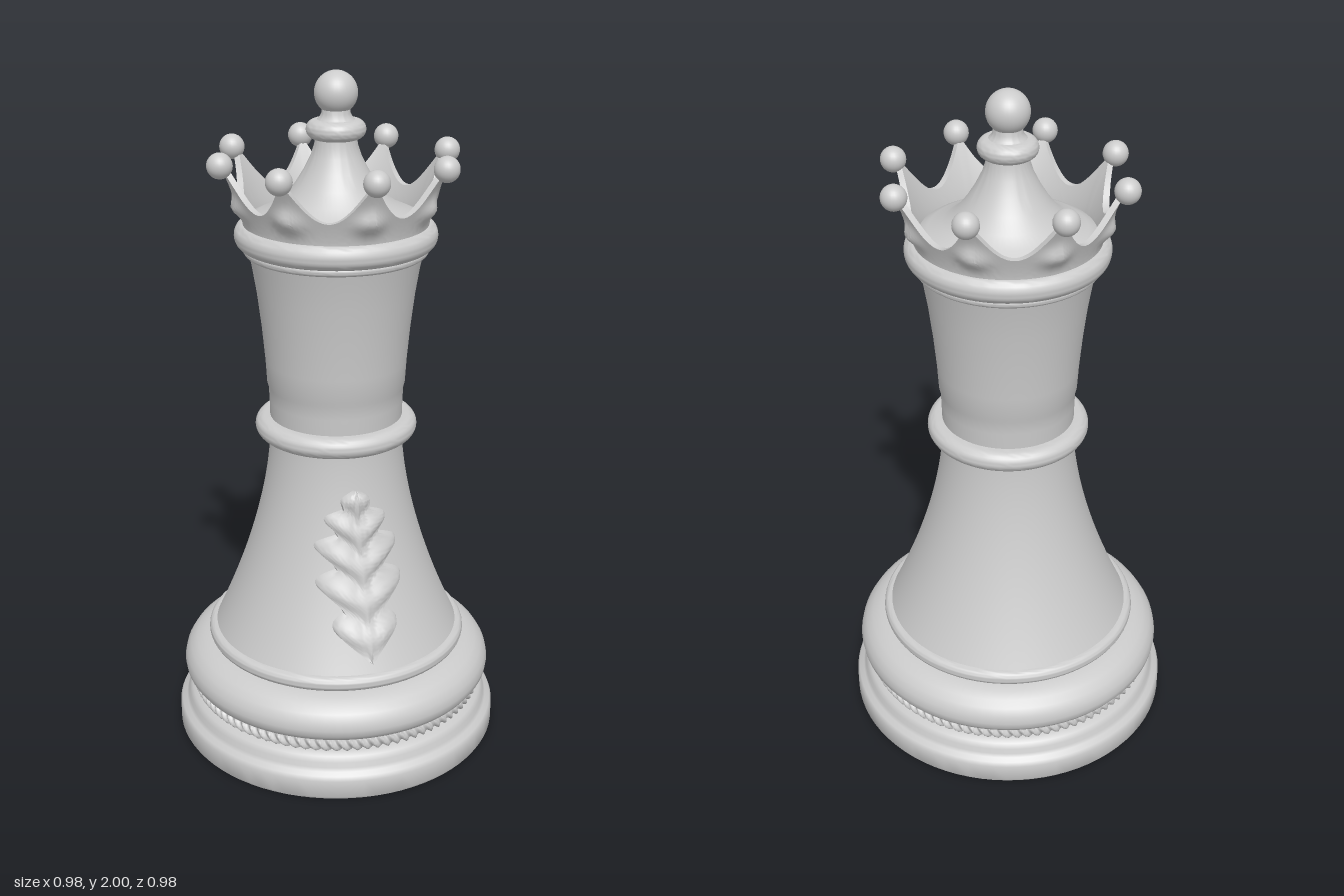
import * as THREE from 'three';
import { toCreasedNormals } from 'three/addons/utils/BufferGeometryUtils.js';
import { ParametricGeometry } from 'three/addons/geometries/ParametricGeometry.js';

const material = new THREE.MeshStandardMaterial({ color: 0xcccccc });
const SPIKES = 8;

function part(group, name, geometry) {
  const mesh = new THREE.Mesh(geometry, material);
  mesh.name = name;
  group.add(mesh);
  return mesh;
}

// Turned part from [radius, height] pairs, listed bottom to top
function turned(group, name, profile, segments = 80) {
  const points = profile.map(([r, y]) => new THREE.Vector2(r, y));
  return part(group, name, toCreasedNormals(new THREE.LatheGeometry(points, segments), 0.7));
}

// Rounded moulding: half an ellipse bulging outward from radius r
function moulding(r, bulge, y0, y1, steps = 14) {
  const points = [[r - 0.03, y0]];
  for (let i = 0; i <= steps; i++) {
    const a = -Math.PI / 2 + (Math.PI * i) / steps;
    points.push([r + bulge * Math.cos(a), (y0 + y1) / 2 + ((y1 - y0) / 2) * Math.sin(a)]);
  }
  points.push([r - 0.03, y1]);
  return points;
}

// Radius of the flared lower stem at height y
const stemRadius = (y) => 0.193 + 0.172 * Math.pow(Math.max(0, (0.97 - y) / 0.63), 1.7);

// Twisted rope running round the base
function ropeGeometry() {
  return new ParametricGeometry((u, v, target) => {
    const a = u * Math.PI * 2;
    const b = v * Math.PI * 2;
    const thick = 0.021 + 0.005 * Math.cos(3 * b + 90 * a);
    const r = 0.42 + thick * Math.cos(b);
    target.set(r * Math.sin(a), 0.15 + thick * Math.sin(b), r * Math.cos(a));
  }, 630, 14);
}

// Flared crown wall: outside going up, over the scalloped rim, inside going down
function crownGeometry() {
  const rows = 20, bottom = 1.575;
  const geometry = new ParametricGeometry((u, v, target) => {
    const a = u * Math.PI * 2;
    const cell = u * SPIKES;
    const t = Math.abs(cell - Math.round(cell)) * 2; // 0 at a spike, 1 in a valley
    const rim = 1.645 + 0.1 * Math.pow(Math.min(1, 1.07 - t * 1.07), 2);
    const row = Math.round(v * rows);
    const outside = row <= 12;
    const s = outside ? row / 12 : (rows - row) / 7;
    const y = bottom + s * (rim - bottom);
    let r = 0.26 + 0.06 * Math.pow((y - bottom) / 0.17, 1.4);
    if (outside) r += 0.024 * Math.exp(-Math.pow(t / 0.36, 2) - Math.pow((y - 1.642) / 0.028, 2));
    else r -= 0.018;
    target.set(r * Math.sin(a), y, r * Math.cos(a));
  }, SPIKES * 24, rows);
  return toCreasedNormals(geometry, 0.8);
}

// Leaf relief with upswept pointed lobes, wrapped onto the stem
function leafGeometry() {
  const lobes = 5;
  const geometry = new ParametricGeometry((u, v, target) => {
    const side = u * 2 - 1;
    const k = Math.abs(side);
    const saw = (v * lobes) % 1;
    const envelope = 0.135 * Math.pow(Math.sin(Math.PI * Math.pow(v, 0.72)), 0.75);
    const width = Math.max(0.004, envelope * (0.55 + 0.45 * Math.sin(Math.PI * Math.pow(saw, 1.5))));
    const x = side * width - 0.012;
    const y = 0.37 + 0.48 * v + 0.07 * k * Math.sin(Math.PI * v);
    const vein = 0.5 + 0.5 * Math.cos(2 * Math.PI * (saw - 0.63));
    const rib = 0.008 * Math.exp(-Math.pow(side / 0.12, 2));
    const lift = k > 0.98 ? -0.012 : 0.013 + 0.013 * vein * Math.sin(Math.PI * Math.min(1, k + 0.1)) + rib;
    const r = stemRadius(y);
    target.set(x, y, Math.sqrt(r * r - x * x) + lift);
  }, 24, 80);
  return toCreasedNormals(geometry, 0.9);
}

export function createModel() {
  const model = new THREE.Group();
  model.name = 'chessQueen';

  // Base
  turned(model, 'plinth', [
    [0, 0], [0.483, 0], [0.488, 0.008], [0.488, 0.06], [0.482, 0.073], [0.468, 0.08],
    [0.462, 0.09], [0.459, 0.105], [0.45, 0.12], [0.432, 0.128], [0.405, 0.132],
    [0.405, 0.175], [0.3, 0.175],
  ]);
  part(model, 'ropeTrim', ropeGeometry());
  turned(model, 'baseMoulding', [
    [0.38, 0.168], [0.43, 0.17], [0.453, 0.179], [0.465, 0.196], [0.468, 0.215], [0.463, 0.238],
    [0.45, 0.26], [0.43, 0.277], [0.405, 0.289], [0.38, 0.295], [0.33, 0.297],
  ]);
  turned(model, 'stemFoot', moulding(0.37, 0.02, 0.293, 0.337));

  // Stem, lower flare then upper flare
  const lower = [];
  for (let i = 0; i <= 24; i++) {
    const y = 0.32 + (0.65 * i) / 24;
    lower.push([stemRadius(y), y]);
  }
  turned(model, 'lowerStem', lower);
  part(model, 'leafRelief', leafGeometry());
  turned(model, 'waistRing', moulding(0.205, 0.031, 0.95, 1.012));
  turned(model, 'upperStem', [
    [0.19, 0.96], [0.193, 1.01], [0.194, 1.06], [0.196, 1.1], [0.2, 1.112], [0.204, 1.18],
    [0.213, 1.28], [0.225, 1.38], [0.238, 1.46], [0.249, 1.51],
  ]);

  // Collar under the crown
  turned(model, 'collarLip', moulding(0.25, 0.012, 1.495, 1.522, 8));
  turned(model, 'collarRing', moulding(0.258, 0.028, 1.515, 1.583));

  // Crown wall and the ball on each spike
  part(model, 'crownWall', crownGeometry());
  const ball = new THREE.SphereGeometry(0.036, 24, 16);
  for (let i = 0; i < SPIKES; i++) {
    const a = (i / SPIKES) * Math.PI * 2;
    part(model, 'crownBall', ball).position.set(0.33 * Math.sin(a), 1.762, 0.33 * Math.cos(a));
  }

  // Domed cap inside the crown with its finial
  turned(model, 'crownCap', [
    [0.262, 1.578], [0.25, 1.594], [0.22, 1.608], [0.18, 1.626], [0.145, 1.652], [0.115, 1.69],
    [0.09, 1.73], [0.07, 1.77], [0.06, 1.8], [0.058, 1.82],
  ], 64);
  turned(model, 'finialCollar', moulding(0.056, 0.027, 1.815, 1.868), 48);
  turned(model, 'finialNeck', [[0.062, 1.86], [0.047, 1.872], [0.04, 1.885], [0.04, 1.91]], 48);
  part(model, 'finialBall', new THREE.SphereGeometry(0.06, 32, 24)).position.y = 1.94;

  return model;
}
